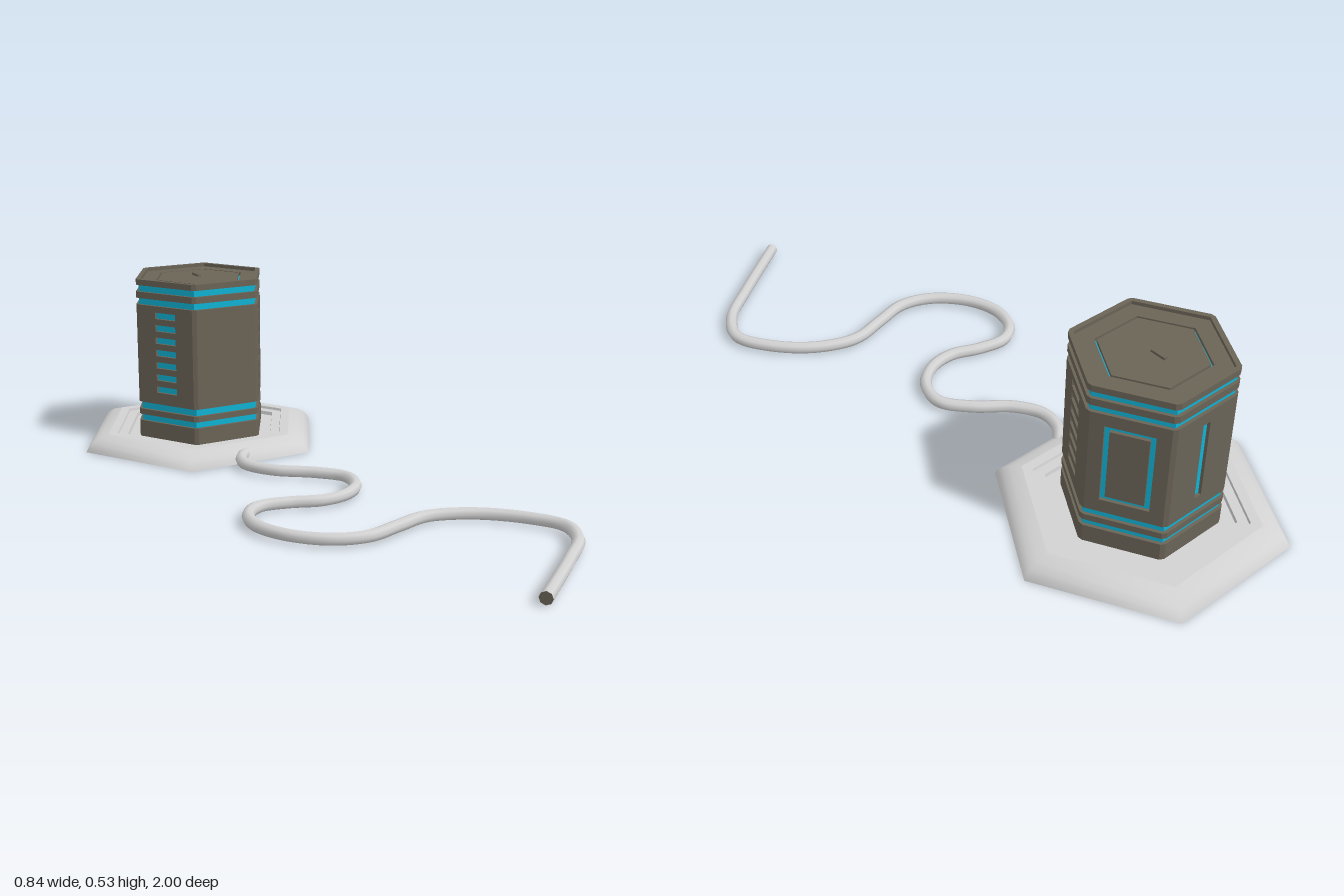
import * as THREE from 'three';

const mat = (name, color) => {
  const m = new THREE.MeshStandardMaterial({ color });
  m.name = name;
  return m;
};

const A = 0.187;      // centre to flat of the dark shell
const CORE = 0.178;   // centre to flat of the glowing core
const HALF = 0.1;     // half width of a shell face, up to the corner bevel
const DEG = Math.PI / 180;

// point on a hexagon face: face direction, distance from centre, offset along the face
const pt = (deg, a, s) => {
  const c = Math.cos(deg * DEG), n = Math.sin(deg * DEG);
  return new THREE.Vector2(a * c - s * n, a * n + s * c);
};
const hexPoints = (r) => [0, 60, 120, 180, 240, 300].map((d) => pt(d, r, 0));
const bevelHexPoints = () =>
  [30, 90, 150, 210, 270, 330].flatMap((d) => [pt(d, A, -HALF), pt(d, A, HALF)]);

// upright prism from a plan outline, with an optional hexagonal hole
function prism(points, y0, y1, holeRadius) {
  const shape = new THREE.Shape(points);
  if (holeRadius) shape.holes.push(new THREE.Path(hexPoints(holeRadius)));
  const g = new THREE.ExtrudeGeometry(shape, { depth: y1 - y0, bevelEnabled: false });
  return g.rotateX(-Math.PI / 2).translate(0, y0, 0);
}

const rect = (Type, cx, cy, w, h) => new Type([
  new THREE.Vector2(cx - w / 2, cy - h / 2), new THREE.Vector2(cx + w / 2, cy - h / 2),
  new THREE.Vector2(cx + w / 2, cy + h / 2), new THREE.Vector2(cx - w / 2, cy + h / 2),
]);

// shell plate standing on one face of the core, with rectangular cut-outs
function facePlate(deg, cy, w, h, holes = []) {
  const shape = rect(THREE.Shape, 0, cy, w, h);
  holes.forEach((o) => shape.holes.push(rect(THREE.Path, 0, ...o)));
  const g = new THREE.ExtrudeGeometry(shape, { depth: A - CORE, bevelEnabled: false });
  return g.translate(0, 0, CORE).rotateY(deg * DEG);
}

function hexLathe(profile, flat) {
  let g = new THREE.LatheGeometry(profile.map((p) => new THREE.Vector2(...p)), 6);
  g.rotateY(Math.PI / 6);
  if (flat) {
    g = g.toNonIndexed();
    g.computeVertexNormals();
  }
  return g;
}

export function createModel() {
  const model = new THREE.Group();
  const dark = mat('warm grey shell', 0x6b6457);
  const cyan = mat('cyan glow', 0x10b4d6);
  const pale = mat('pale grey', 0xd2d2d2);

  const tower = new THREE.Group();
  tower.name = 'tower';
  tower.position.set(-0.022, 0, -0.655);
  model.add(tower);
  const add = (parent, name, geometry, material) => {
    const mesh = new THREE.Mesh(geometry, material);
    mesh.name = name;
    parent.add(mesh);
    return mesh;
  };

  // Base: sloped skirt, stepped recess and underside
  add(tower, 'baseSkirt', hexLathe([[0.398, 0], [0.391, 0.013], [0.378, 0.026], [0.355, 0.039], [0.323, 0.047]]), pale);
  add(tower, 'baseRecess', hexLathe([[0.323, 0.047], [0.292, 0.047], [0.29, 0.039], [0.258, 0.039],
    [0.256, 0.028], [0.15, 0.028]], true), pale);
  add(tower, 'baseUnderside', hexLathe([[0, 0], [0.398, 0]], true), pale);

  // Glowing core, seen between the bands and through the cut-outs
  add(tower, 'core', prism(hexPoints(CORE / Math.cos(30 * DEG)), 0.03, 0.508), cyan);

  // Dark bands
  [[0.026, 0.08], [0.1, 0.118], [0.47, 0.49]].forEach(([y0, y1]) =>
    add(tower, 'band', prism(bevelHexPoints(), y0, y1), dark));

  // Top: rim, sunken ring and lid, leaving a narrow glowing groove
  add(tower, 'topRim', prism(bevelHexPoints(), 0.51, 0.528, 0.2), dark);
  add(tower, 'topRing', prism(hexPoints(0.2055), 0.507, 0.518, 0.148), dark);
  add(tower, 'lid', prism(hexPoints(0.141), 0.507, 0.518), dark);
  add(tower, 'lidTab', new THREE.BoxGeometry(0.01, 0.008, 0.045).translate(0, 0.521, -0.018), dark);

  // Main shell plates: plain front, vents, framed panels and a back slit
  const y0 = 0.14, y1 = 0.45, mid = (y0 + y1) / 2, w = HALF * 2;
  const vents = [...Array(7)].map((_, i) => [0.187 + i * 0.0389, 0.075, 0.02]);
  const cutouts = {
    0: [], 60: vents, 300: vents,
    120: [[0.297, 0.127, 0.235]], 240: [[0.297, 0.127, 0.235]],
    180: [[0.297, 0.024, 0.235]],
  };
  for (const [deg, holes] of Object.entries(cutouts))
    add(tower, 'shellPlate', facePlate(+deg, mid, w, y1 - y0, holes), dark);
  for (const deg of [120, 240])
    add(tower, 'framedPanel', facePlate(deg, 0.297, 0.099, 0.207), dark);

  // Bevelled corner posts between the plates
  for (let d = 0; d < 360; d += 60) {
    const post = [pt(d - 30, A, HALF), pt(d + 30, A, -HALF), pt(d + 30, CORE, -HALF),
      pt(d, CORE / Math.cos(30 * DEG), 0), pt(d - 30, CORE, HALF)];
    add(tower, 'cornerPost', prism(post, y0, y1), dark);
  }

  // Cable winding over the ground
  const path = [[-0.02, -0.35], [-0.065, -0.295], [-0.075, -0.23], [-0.03, -0.15], [0.06, -0.075],
    [0.12, 0.005], [0.1, 0.09], [0.035, 0.142], [-0.045, 0.152], [-0.13, 0.122], [-0.215, 0.11],
    [-0.272, 0.15], [-0.295, 0.235], [-0.262, 0.335], [-0.18, 0.42], [-0.085, 0.45], [0.02, 0.425],
    [0.13, 0.4], [0.25, 0.445], [0.35, 0.54], [0.4, 0.64], [0.36, 0.735], [0.25, 0.83], [0.05, 0.985]];
  const curve = new THREE.CatmullRomCurve3(path.map(([x, z]) => new THREE.Vector3(x, 0.02, z)));
  add(model, 'cable', new THREE.TubeGeometry(curve, 140, 0.0175, 8), pale);
  const cap = add(model, 'cableEnd', new THREE.CircleGeometry(0.0175, 8), dark);
  cap.position.copy(curve.getPoint(1));
  cap.lookAt(cap.position.clone().add(curve.getTangent(1)));

  return model;
}
